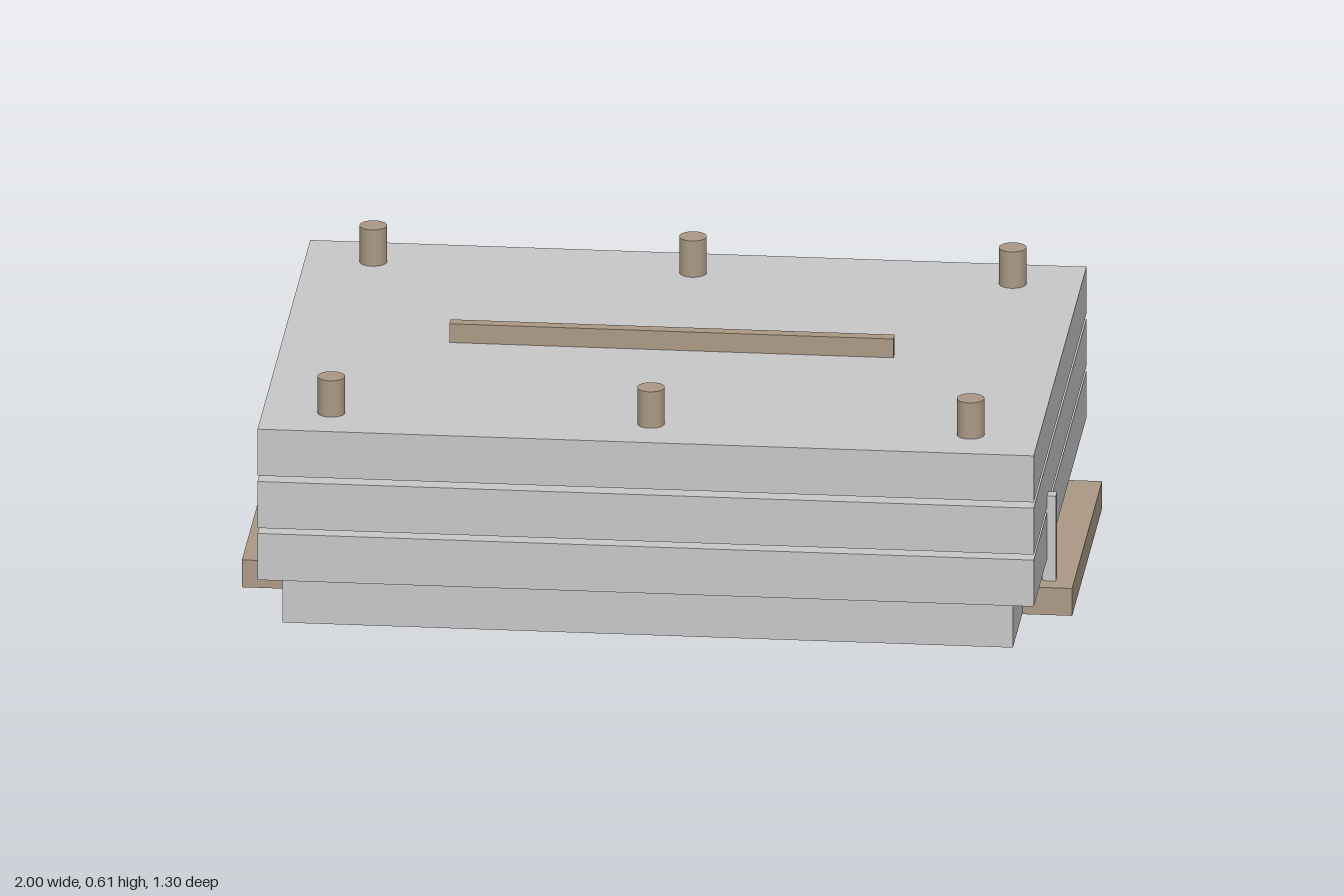
import * as THREE from 'three';

export function createModel() {
  const model = new THREE.Group();
  const grey = new THREE.MeshStandardMaterial({ color: 0xc8c8c8 });
  grey.name = 'lightGrey';
  const wood = new THREE.MeshStandardMaterial({ color: 0xab9985 });
  wood.name = 'woodBrown';

  function add(name, geometry, material, x, y, z) {
    const mesh = new THREE.Mesh(geometry, material);
    mesh.name = name;
    mesh.position.set(x, y, z);
    model.add(mesh);
  }
  // Box given by its bottom and top heights
  function block(name, material, width, depth, bottom, top, x = 0, z = 0) {
    add(name, new THREE.BoxGeometry(width, top - bottom, depth), material, x, (bottom + top) / 2, z);
  }

  // Cross plank that sticks out at both ends, and the base it runs through
  block('crossPlank', wood, 2, 0.735, 0, 0.07);
  block('base', grey, 1.76, 1.2, 0.001, 0.126);

  // Three stacked slabs with narrow gaps
  [[0.126, 0.245], [0.259, 0.378], [0.393, 0.512]].forEach(([bottom, top], i) =>
    block('slab' + (i + 1), grey, 1.87, 1.296, bottom, top));

  // Thin centre board passing up through the slabs
  block('centreBoard', wood, 1.07, 0.03, 0.07, 0.56);

  // Six dowels through the whole stack
  for (const x of [-0.77, 0, 0.77])
    for (const z of [-0.517, 0.517])
      add('dowel', new THREE.CylinderGeometry(0.033, 0.033, 0.605, 32), wood, x, 0.3025, z);

  // Upright pins: one outside each end, two pairs within the stack
  for (const side of [-1, 1])
    for (const [x, z] of [[0.94, 0.305], [0.615, 0.405], [0.34, 0.275]])
      block('pin', grey, 0.032, 0.032, 0.07, 0.287, side * x, z);

  return model;
}
